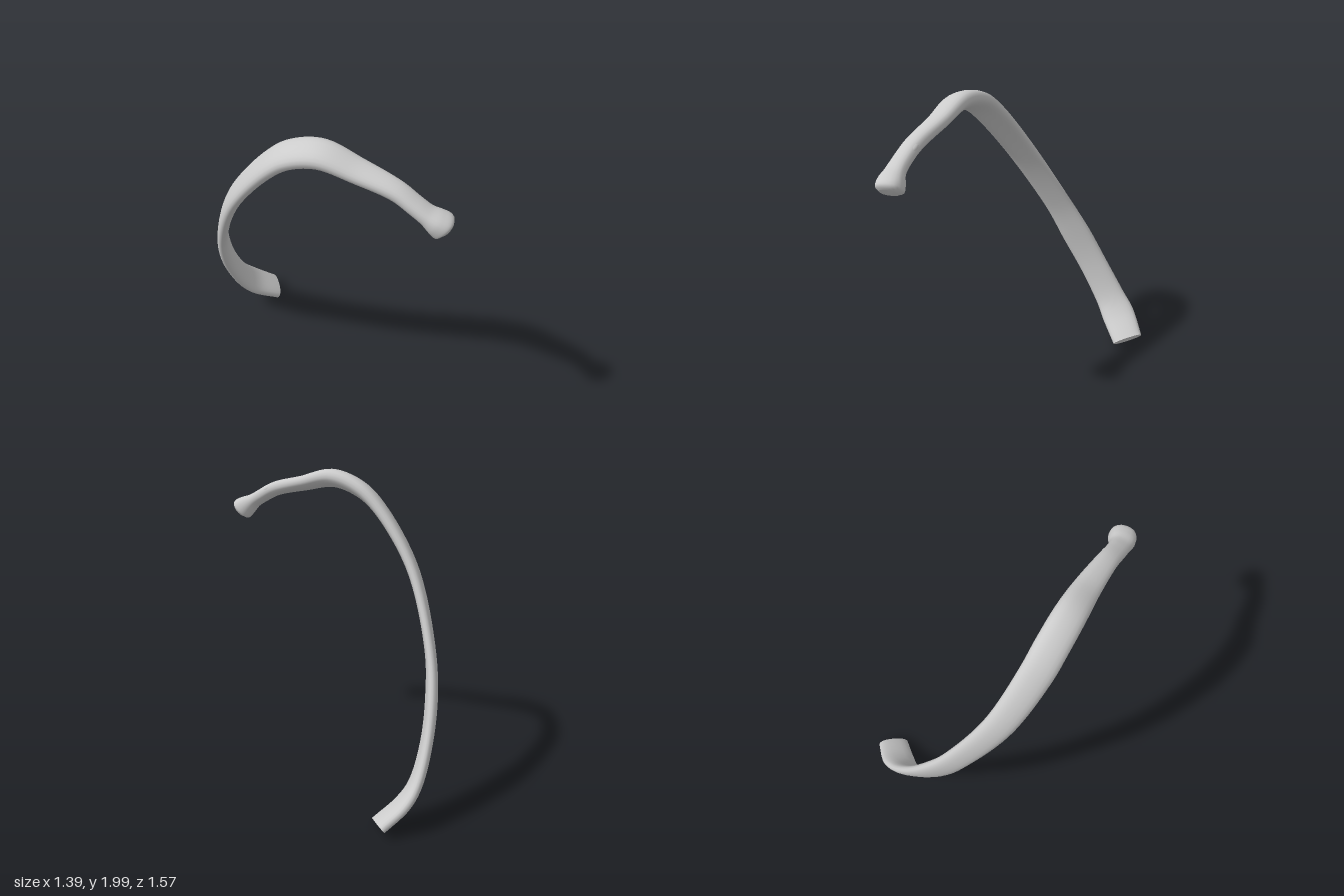
import * as THREE from 'three';

// Path from the knobbed head to the flat cut end: x, y, z, half width, half thickness
const STATIONS = [
  [0.665, 1.645, 0.708, 0.055, 0.045],
  [0.65, 1.66, 0.706, 0.081, 0.075],
  [0.61, 1.69, 0.702, 0.08, 0.066],
  [0.56, 1.725, 0.69, 0.066, 0.047],
  [0.5, 1.765, 0.665, 0.062, 0.044],
  [0.4, 1.825, 0.613, 0.064, 0.045],
  [0.2, 1.885, 0.513, 0.08, 0.046],
  [0, 1.937, 0.425, 0.095, 0.055],
  [-0.17, 1.885, 0.345, 0.1, 0.053],
  [-0.3, 1.77, 0.275, 0.1, 0.048],
  [-0.51, 1.44, 0.1, 0.094, 0.042],
  [-0.628, 1.0, -0.148, 0.09, 0.037],
  [-0.643, 0.75, -0.285, 0.1, 0.04],
  [-0.618, 0.5, -0.425, 0.098, 0.038],
  [-0.555, 0.28, -0.55, 0.104, 0.04],
  [-0.48, 0.175, -0.615, 0.115, 0.042],
  [-0.335, 0.06, -0.685, 0.105, 0.042],
];
// Direction of the broad side, evenly spread along the path
const BROAD = [
  [0, 0.15, -1], [0.3, 0.3, -0.9], [0.3, 0.4, -0.86], [0, 0.47, -0.88], [-0.2, 0.22, -0.95],
];
const SIDES = 20, RINGS = 108;

const curveOf = (rows, f) => new THREE.CatmullRomCurve3(rows.map(f));
const centre = curveOf(STATIONS, ([x, y, z]) => new THREE.Vector3(x, y, z));
const broad = curveOf(BROAD, ([x, y, z]) => new THREE.Vector3(x, y, z));
// The third component only keeps neighbouring points apart
const size = curveOf(STATIONS, (s, i) => new THREE.Vector3(s[3], s[4], i));

// One closed cross-section: a softened oval, a little hollow on the inner face
function ring(t) {
  const c = centre.getPoint(t), tangent = centre.getTangent(t);
  const w = broad.getPoint(t);
  w.addScaledVector(tangent, -w.dot(tangent)).normalize();
  const inward = new THREE.Vector3().crossVectors(tangent, w);
  const s = size.getPoint(t);
  const { smoothstep } = THREE.MathUtils;
  const groove = smoothstep(t, 0.45, 0.6) * (1 - smoothstep(t, 0.75, 0.9));
  const soft = (v) => Math.sign(v) * Math.abs(v) ** 0.88;
  const points = [];
  for (let j = 0; j < SIDES; j++) {
    const a = (j / SIDES) * Math.PI * 2;
    const dip = 1 - 0.2 * groove * Math.max(0, Math.sin(a)) * Math.max(0, -Math.cos(a * 2 + 0.6));
    points.push(c.clone()
      .addScaledVector(w, s.x * soft(Math.cos(a)))
      .addScaledVector(inward, s.y * soft(Math.sin(a)) * dip));
  }
  return points;
}

function geometryFrom(points, index) {
  const g = new THREE.BufferGeometry().setFromPoints(points);
  g.setIndex(index);
  g.computeVertexNormals();
  return g;
}

function shaftGeometry() {
  const points = [], index = [];
  for (let i = 0; i <= RINGS; i++) points.push(...ring(i / RINGS));
  for (let i = 0; i < RINGS; i++) {
    for (let j = 0; j < SIDES; j++) {
      const k = (j + 1) % SIDES, a = i * SIDES, b = a + SIDES;
      index.push(a + j, a + k, b + j, a + k, b + k, b + j);
    }
  }
  // Rounded closing of the head
  const tip = points.length;
  points.push(centre.getPoint(0).addScaledVector(centre.getTangent(0), -0.012));
  for (let j = 0; j < SIDES; j++) index.push(tip, (j + 1) % SIDES, j);
  return geometryFrom(points, index);
}

// Flat, slightly dished face at the lower end
function endFaceGeometry() {
  const points = ring(1), index = [];
  points.push(centre.getPoint(1).addScaledVector(centre.getTangent(1), -0.008));
  for (let j = 0; j < SIDES; j++) index.push(SIDES, j, (j + 1) % SIDES);
  return geometryFrom(points, index);
}

export function createModel() {
  const group = new THREE.Group();
  group.name = 'ribBone';
  const material = new THREE.MeshStandardMaterial({ color: 0xcccccc });
  const add = (name, geometry) => {
    const mesh = new THREE.Mesh(geometry, material);
    mesh.name = name;
    group.add(mesh);
    return mesh;
  };

  add('shaftAndHead', shaftGeometry());
  add('lowerEndFace', endFaceGeometry());

  // Small bump behind the neck
  const bump = add('tubercle', new THREE.SphereGeometry(1, 16, 10));
  bump.scale.set(0.06, 0.025, 0.032);
  bump.position.set(0.45, 1.825, 0.607);
  bump.rotation.set(0, -0.5, -0.5);

  return group;
}
